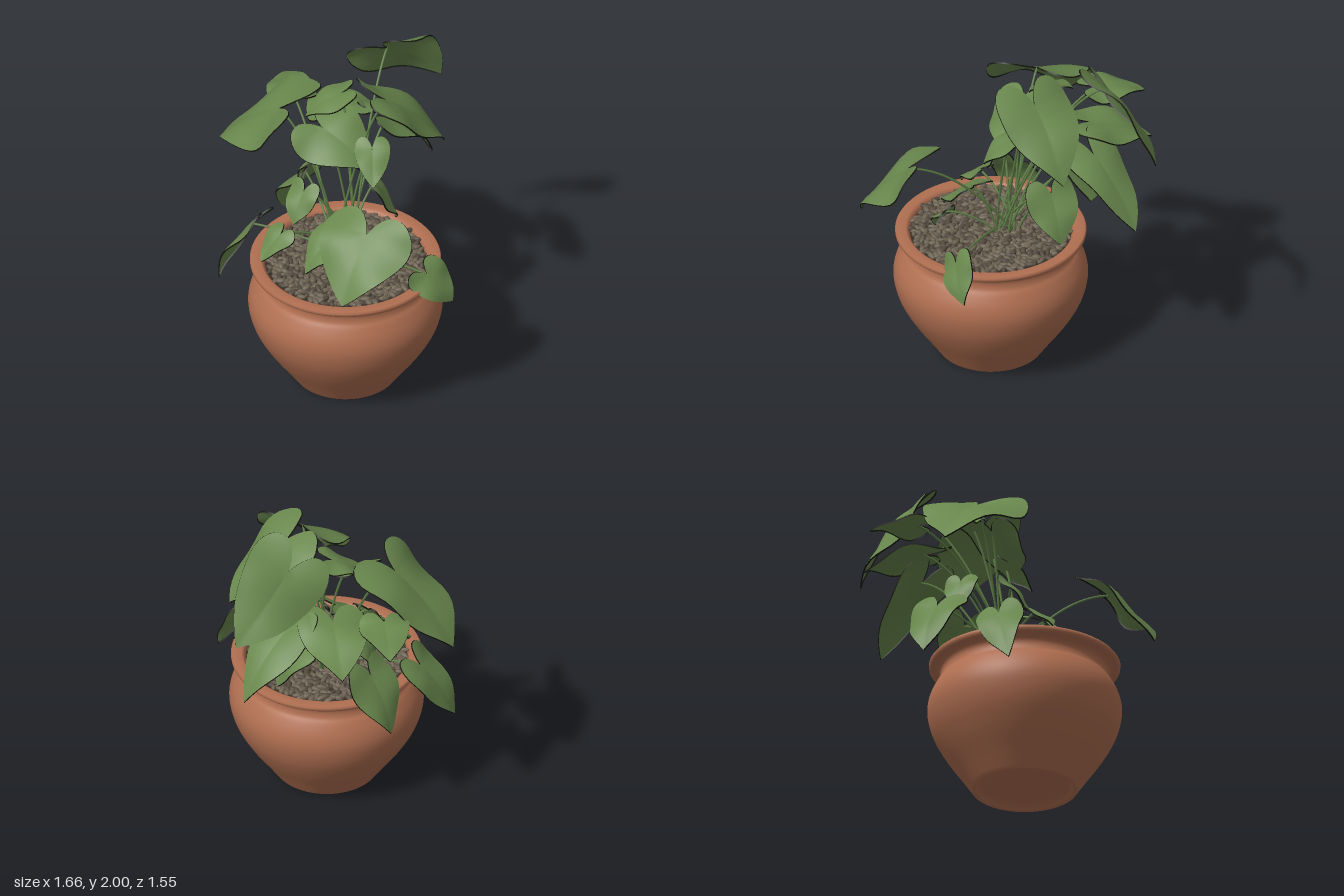
import * as THREE from 'three';
import { mergeGeometries } from 'three/addons/utils/BufferGeometryUtils.js';

const V = (a) => new THREE.Vector3(...a);
const V2 = (list) => list.map((p) => new THREE.Vector2(...p));
const UP = new THREE.Vector3(0, 1, 0);
const POT = [0.11, 0.22]; // pot axis in x, z

const mat = (name, color, side = THREE.FrontSide) => {
  const m = new THREE.MeshStandardMaterial({ color, side });
  m.name = name;
  return m;
};

// small seeded random
let seed = 7;
const rnd = () => (seed = (seed * 16807) % 2147483647) / 2147483647;

// half outline of a heart-shaped blade: (along, across), notch at the origin, tip at (1, 0)
const half = new THREE.SplineCurve(V2([
  [0, 0], [-0.17, 0.07], [-0.3, 0.2], [-0.28, 0.37], [-0.12, 0.49],
  [0.1, 0.51], [0.35, 0.45], [0.6, 0.33], [0.84, 0.15], [1, 0],
])).getPoints(24);
const outline = [...half, ...half.slice(1, -1).reverse().map((p) => new THREE.Vector2(p.x, -p.y))];

// blade from notch to tip, arched and gently waved, built as rings growing from the notch,
// with a thin dark rim; it lies level across unless rolled about its midrib
function leafGeometry(notch, tip, width, roll, phase) {
  const axis = tip.clone().sub(notch);
  const len = axis.length();
  const dir = axis.clone().normalize();
  const side = dir.clone().cross(UP).normalize().applyAxisAngle(dir, roll);
  const normal = side.clone().cross(dir);
  const rings = 6, n = outline.length, pos = [], index = [];
  const add = (a, c, drop = 0) => {
    const arch = len * 0.28 * a * (1 - a) * (a < 0 ? 0.6 : 1);
    const wave = width * (0.12 * Math.abs(c) - 0.45 * c * c + 0.14 * c * Math.sin(6 * a + phase));
    const p = notch.clone().addScaledVector(axis, a)
      .addScaledVector(side, c * width).addScaledVector(normal, arch + wave - drop);
    pos.push(p.x, p.y, p.z);
  };
  add(0, 0);
  for (let r = 1; r <= rings; r++) outline.forEach((p) => add(p.x * r / rings, p.y * r / rings));
  for (const drop of [0, 0.009]) outline.forEach((p) => add(p.x, p.y, drop));
  const id = (r, i) => (r === 0 ? 0 : 1 + (r - 1) * n + (i % n));
  const band = (r) => {
    for (let i = 0; i < n; i++) {
      const a = id(r, i), b = id(r, i + 1), c = id(r + 1, i), d = id(r + 1, i + 1);
      index.push(a, c, d);
      if (r > 0) index.push(a, d, b);
    }
  };
  for (let r = 0; r < rings; r++) band(r);
  const bladeEnd = index.length;
  band(rings + 1);
  const g = new THREE.BufferGeometry();
  g.setAttribute('position', new THREE.Float32BufferAttribute(pos, 3));
  g.setIndex(index);
  g.addGroup(0, bladeEnd, 0);
  g.addGroup(bladeEnd, index.length - bladeEnd, 1);
  g.computeVertexNormals();
  return g;
}

// notch, tip, width, optional roll
const LEAVES = [
  [[-0.2, 1.83, -0.38], [-0.17, 1.47, -0.77], 0.48, -0.85],
  [[0.11, 1.76, -0.1], [0.25, 1.4, -0.42], 0.46],
  [[-0.14, 1.57, 0.18], [0.17, 1.39, 0.07], 0.42, 0.4],
  [[0.14, 1.5, 0.04], [0.27, 1.34, 0.15], 0.2],
  [[-0.4, 1.61, 0.28], [-0.8, 1.24, 0.36], 0.58, -0.2],
  [[-0.34, 1.44, -0.16], [-0.64, 1.28, -0.37], 0.4],
  [[-0.6, 1.49, 0], [-0.83, 1.42, -0.17], 0.28],
  [[-0.15, 1.38, -0.33], [-0.12, 1, -0.66], 0.34],
  [[-0.43, 0.86, 0.46], [-0.54, 0.5, 0.62], 0.27, 0.6],
  [[-0.46, 1.02, 0.03], [-0.61, 0.68, 0.05], 0.34],
  [[-0.14, 1.18, 0.32], [-0.12, 1, 0.42], 0.2],
  [[0.15, 1.05, 0.34], [0.13, 0.85, 0.55], 0.26],
  [[-0.14, 0.96, 0.5], [-0.15, 0.83, 0.64], 0.18],
  [[0.32, 0.94, 0.4], [0.31, 0.82, 0.47], 0.15],
  [[0.64, 0.88, 0.06], [0.72, 0.68, -0.06], 0.24, 1.05],
  [[0.57, 1.33, 0.47], [0.66, 1, 0.74], 0.54],
  [[-0.02, 1.09, -0.12], [0.04, 0.82, -0.24], 0.31],
  [[-0.33, 1.2, 0.1], [-0.39, 1, 0.12], 0.2],
  [[-0.17, 1.71, 0], [-0.28, 1.57, 0.18], 0.24],
];

export function createModel() {
  const model = new THREE.Group();
  const terracotta = mat('terracotta', 0xb06f51);
  const leafGreen = mat('leaf green', 0x69874d, THREE.DoubleSide);
  const leafEdge = mat('leaf edge dark', 0x14170e, THREE.DoubleSide);
  const stemGreen = mat('stem green', 0x5d7c45);
  const soilBrown = mat('soil brown', 0x352e27);
  const stones = [mat('stone brown', 0x6c6151), mat('stone dark', 0x544a3e)];
  const addMesh = (name, geometry, material, parent = model) => {
    const m = new THREE.Mesh(geometry, material);
    m.name = name;
    parent.add(m);
    return m;
  };

  // pot: recessed foot, round belly, narrow neck, flared rim
  const belly = new THREE.SplineCurve(V2([
    [0.305, 0.005], [0.37, 0.1], [0.46, 0.23], [0.53, 0.36], [0.56, 0.48], [0.55, 0.57],
    [0.515, 0.645], [0.49, 0.68], [0.484, 0.72], [0.5, 0.748], [0.54, 0.765],
  ])).getPoints(36);
  const profile = [
    ...V2([[0, 0.04], [0.25, 0.04], [0.275, 0.005], [0.285, 0], [0.298, 0]]),
    ...belly,
    ...V2([[0.55, 0.775], [0.551, 0.79], [0.543, 0.8], [0.49, 0.8], [0.475, 0.79], [0.465, 0.77], [0.46, 0.7]]),
  ];
  addMesh('pot', new THREE.LatheGeometry(profile, 72), terracotta).position.set(POT[0], 0, POT[1]);

  // soil with a bed of long pebbles on top
  const soil = addMesh('soil', new THREE.CircleGeometry(0.468, 48), soilBrown);
  soil.rotation.x = -Math.PI / 2;
  soil.position.set(POT[0], 0.768, POT[1]);
  const pebbles = [[], []];
  const count = 620;
  for (let i = 0; i < count; i++) {
    const r = 0.455 * Math.sqrt((i + 0.5) / count), t = i * 2.39996;
    const g = new THREE.IcosahedronGeometry(1, 1);
    g.scale(0.026 + 0.012 * rnd(), 0.012 + 0.005 * rnd(), 0.013 + 0.006 * rnd());
    g.rotateZ((rnd() - 0.5) * 0.7);
    g.rotateY(rnd() * Math.PI);
    g.translate(POT[0] + r * Math.cos(t), 0.775 + 0.014 * rnd(), POT[1] + r * Math.sin(t));
    pebbles[rnd() < 0.6 ? 0 : 1].push(g);
  }
  pebbles.forEach((list, i) => addMesh('pebbles', mergeGeometries(list), stones[i]));

  // leaves, each on a stem arching out of the middle of the pot
  const plant = new THREE.Group();
  plant.name = 'plant';
  model.add(plant);
  LEAVES.forEach(([n, t, width, roll = 0], i) => {
    const notch = V(n);
    addMesh('leaf', leafGeometry(notch, V(t), width, roll, i * 1.7), [leafGreen, leafEdge], plant);
    const a = i * 2.4;
    const root = new THREE.Vector3(0.04 + 0.06 * Math.cos(a), 0.76, 0.16 + 0.06 * Math.sin(a));
    const bend = root.clone().lerp(notch, 0.5);
    bend.y = root.y + (notch.y - root.y) * 0.85 + 0.03;
    const path = new THREE.QuadraticBezierCurve3(root, bend, notch);
    addMesh('stem', new THREE.TubeGeometry(path, 18, 0.007, 6), stemGreen, plant);
  });
  return model;
}
